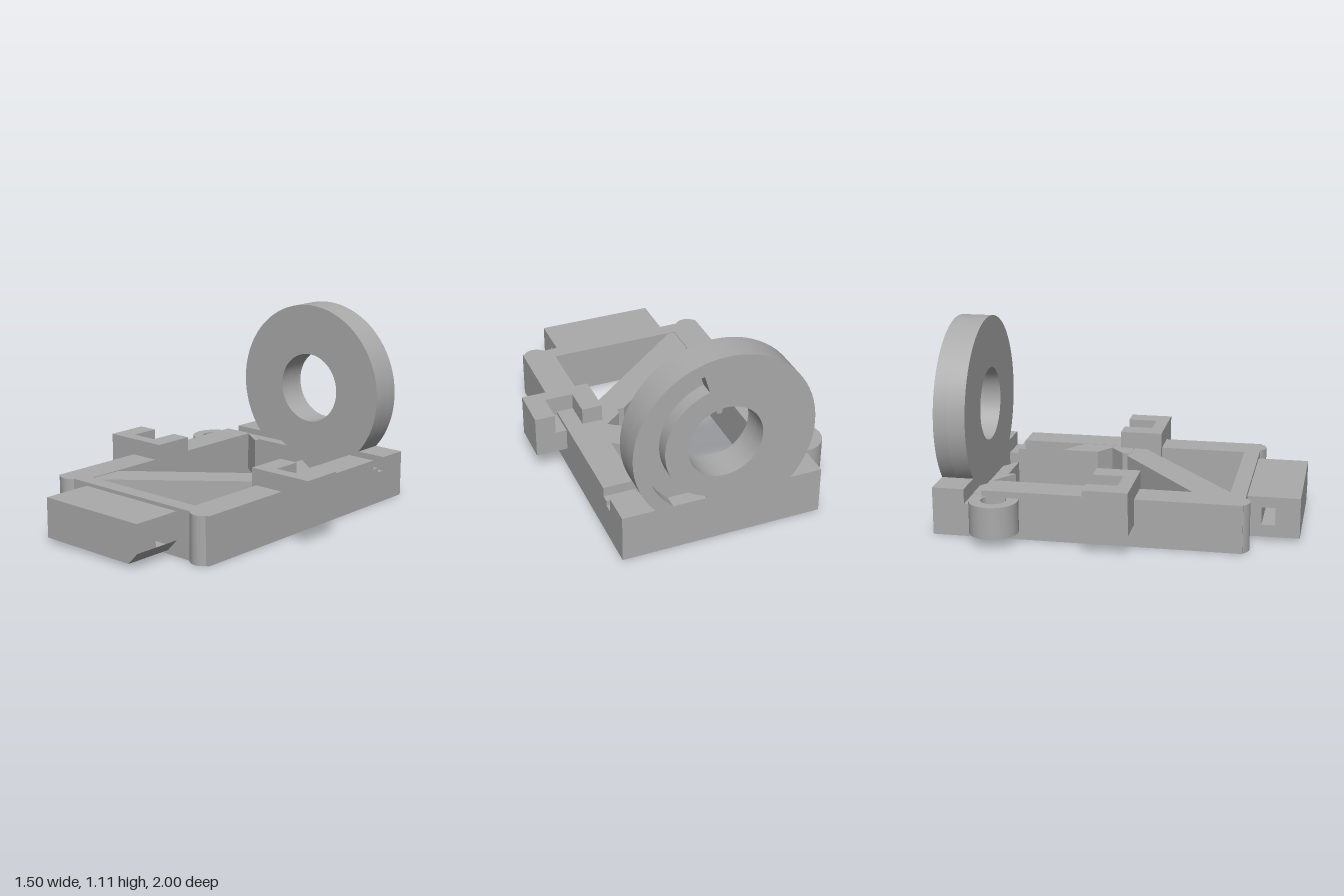
import * as THREE from 'three';
import { toCreasedNormals } from 'three/addons/utils/BufferGeometryUtils.js';

export function createModel() {
  const model = new THREE.Group();
  model.name = 'mountingFrame';
  const grey = new THREE.MeshStandardMaterial({ color: 0xaaaaaa });
  grey.name = 'plain grey';

  const add = (name, geometry) => {
    const mesh = new THREE.Mesh(toCreasedNormals(geometry, 0.5), grey);
    mesh.name = name;
    model.add(mesh);
    return mesh;
  };
  const polygon = (pts) => new THREE.Shape(pts.map(([x, y]) => new THREE.Vector2(x, y)));
  const extrude = (shape, depth) =>
    new THREE.ExtrudeGeometry(shape, { depth, bevelEnabled: false, curveSegments: 36 });
  // Upright extrusion of a shape drawn in (x, -z)
  const standing = (name, shape, y0, y1) =>
    add(name, extrude(shape, y1 - y0).rotateX(-Math.PI / 2).translate(0, y0, 0));
  const plan = (name, pts, y0, y1) =>
    standing(name, polygon(pts.map(([x, z]) => [x, -z])), y0, y1);
  // Extrusion along z of a shape drawn in (x, y)
  const facing = (name, shape, z0, z1) =>
    add(name, extrude(shape, z1 - z0).translate(0, 0, z0));
  const box = (name, x0, x1, y0, y1, z0, z1) =>
    add(name, new THREE.BoxGeometry(x1 - x0, y1 - y0, z1 - z0)
      .translate((x0 + x1) / 2, (y0 + y1) / 2, (z0 + z1) / 2));

  // Base frame
  box('frontBar', -0.57, 0.57, 0, 0.27, 0.62, 0.71);
  box('backBar', -0.57, 0.57, 0, 0.27, -1, -0.82);
  for (const s of [-1, 1]) {
    // Side rail with the stepped notch near the back, drawn in (z, y)
    const rail = polygon([[0.62, 0], [0.62, 0.27], [-0.72, 0.27], [-0.72, 0.215],
      [-0.765, 0.215], [-0.765, 0.187], [-0.82, 0.187], [-0.82, 0]].map(([z, y]) => [-z, y]));
    add(s < 0 ? 'rightRail' : 'leftRail',
      extrude(rail, 0.18).rotateY(Math.PI / 2).translate(s * 0.48 - 0.09, 0, 0));

    // Rounded bumper on the front face
    const bump = new THREE.Shape();
    bump.moveTo(s * 0.5 - 0.06, -0.7);
    bump.lineTo(s * 0.5 - 0.06, -0.715);
    bump.quadraticCurveTo(s * 0.5 - 0.03, -0.742, s * 0.5, -0.742);
    bump.quadraticCurveTo(s * 0.5 + 0.03, -0.742, s * 0.5 + 0.055, -0.715);
    bump.lineTo(s * 0.5 + 0.055, -0.7);
    standing('frontBumper', bump, 0, 0.27);

    // Side block with a pocket open to the top and back
    const x0 = 0.357, x1 = 0.75;
    plan('sideBlockBase', [[s * x0, -0.12], [s * x1, -0.12], [s * x1, 0.125], [s * x0, 0.125]], 0.125, 0.25);
    plan('sideBlockRim', [[x0, -0.12], [0.475, -0.12], [0.475, 0.05], [0.635, 0.05],
      [0.635, -0.12], [x1, -0.12], [x1, 0.125], [x0, 0.125]].map(([x, z]) => [s * x, z]), 0.25, 0.365);
  }

  // Diagonal brace across the opening
  plan('diagonalBrace', [[0.2, -0.05], [0.25, -0.05], [0.39, -0.05], [0.39, 0.01],
    [-0.35, 0.62], [-0.4, 0.62], [-0.4, 0.43]], 0, 0.266);

  // Inner catches
  plan('leftCatch', [[0.4, -0.34], [0.245, -0.455], [0.245, -0.24], [0.345, -0.17],
    [0.245, -0.09], [0.245, -0.04], [0.4, -0.04]], 0.1, 0.268);
  plan('rightCatch', [[-0.4, -0.72], [-0.125, -0.72], [-0.03, -0.65], [-0.25, -0.65],
    [-0.25, -0.61], [-0.4, -0.715]], 0.04, 0.268);
  plan('rightCatchStep', [[-0.4, -0.82], [-0.26, -0.82], [-0.125, -0.72], [-0.4, -0.72]], 0.04, 0.19);

  // Ring loop beside the right rail
  const loop = new THREE.Shape().absarc(-0.615, 0.64, 0.135, 0, Math.PI * 2);
  loop.holes.push(new THREE.Path().absarc(-0.615, 0.64, 0.07, 0, Math.PI * 2, true));
  standing('ringLoop', loop, 0.055, 0.235);
  box('ringLug', -0.6, -0.56, 0.055, 0.215, -0.77, -0.72);

  // Upright disc: plain front layer, back layer with a curved groove
  const disc = (groove) => {
    const shape = new THREE.Shape().absarc(0, 0.604, 0.51, 0, Math.PI * 2);
    shape.holes.push(new THREE.Path().absarc(0, 0.604, 0.21, 0, Math.PI * 2, true));
    if (groove) {
      const a = 1.28;
      const path = new THREE.Path();
      path.absarc(0, 0.604, 0.44, -a, a, false);
      path.absarc(0, 0.604, 0.335, a, -a, true);
      path.closePath();
      shape.holes.push(path);
    }
    return shape;
  };
  facing('discFront', disc(false), -0.92, -0.82);
  facing('discBack', disc(true), -1, -0.92);

  // Front box with a chamfered lower edge and a slot through its sides
  const full = [[-0.345, 0.022], [0.28, 0.022], [0.343, 0.09], [0.343, 0.25], [-0.345, 0.25]];
  facing('frontBoxInner', polygon(full), 0.7, 0.79);
  facing('frontBoxOuter', polygon(full), 0.865, 1);
  facing('frontBoxFloor', polygon([...full.slice(0, 3), [-0.345, 0.09]]), 0.79, 0.865);
  box('frontBoxRoof', -0.345, 0.343, 0.19, 0.25, 0.79, 0.865);

  // Fix the winding of mirrored bodies is not needed: shapes are re-oriented when extruded
  return model;
}
